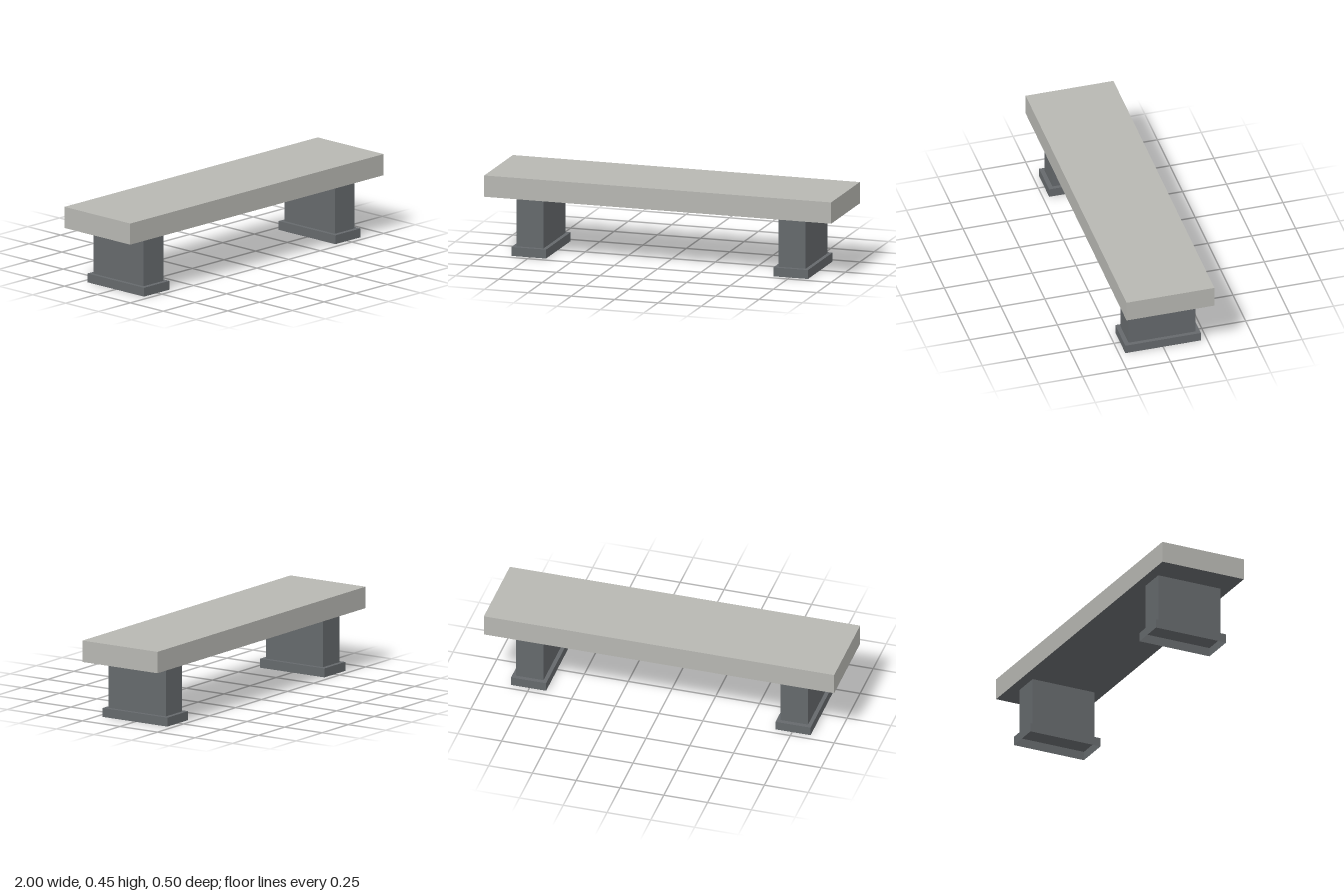
import * as THREE from 'three';

const paleStone = new THREE.MeshStandardMaterial({ color: 0xb7b7b2 });
paleStone.name = 'paleStone';
const darkStone = new THREE.MeshStandardMaterial({ color: 0x65696c, side: THREE.DoubleSide });
darkStone.name = 'darkStone';

// Box standing on height y0
function block(name, w, h, d, y0, material) {
  const geometry = new THREE.BoxGeometry(w, h, d);
  geometry.translate(0, y0 + h / 2, 0);
  const mesh = new THREE.Mesh(geometry, material);
  mesh.name = name;
  return mesh;
}

// Remove the bottom face, leaving a hollow shell open below
function openBottom(mesh) {
  const index = Array.from(mesh.geometry.index.array);
  index.splice(18, 6);
  mesh.geometry.setIndex(index);
  mesh.geometry.clearGroups();
  return mesh;
}

export function createModel() {
  const bench = new THREE.Group();
  bench.name = 'bench';

  // Thick seat slab, pale all round with a dark underside (fourth box face)
  const seatFaces = [paleStone, paleStone, paleStone, darkStone, paleStone, paleStone];
  bench.add(block('seat', 2, 0.12, 0.5, 0.33, seatFaces));

  // Two pedestal legs, each a pillar on a wider hollow foot
  for (const side of [-1, 1]) {
    const leg = new THREE.Group();
    leg.name = side > 0 ? 'leftLeg' : 'rightLeg';
    leg.add(block('pillar', 0.156, 0.285, 0.381, 0.045, darkStone));
    leg.add(openBottom(block('foot', 0.2, 0.05, 0.43, 0, darkStone)));
    leg.position.x = side * 0.755;
    bench.add(leg);
  }
  return bench;
}
